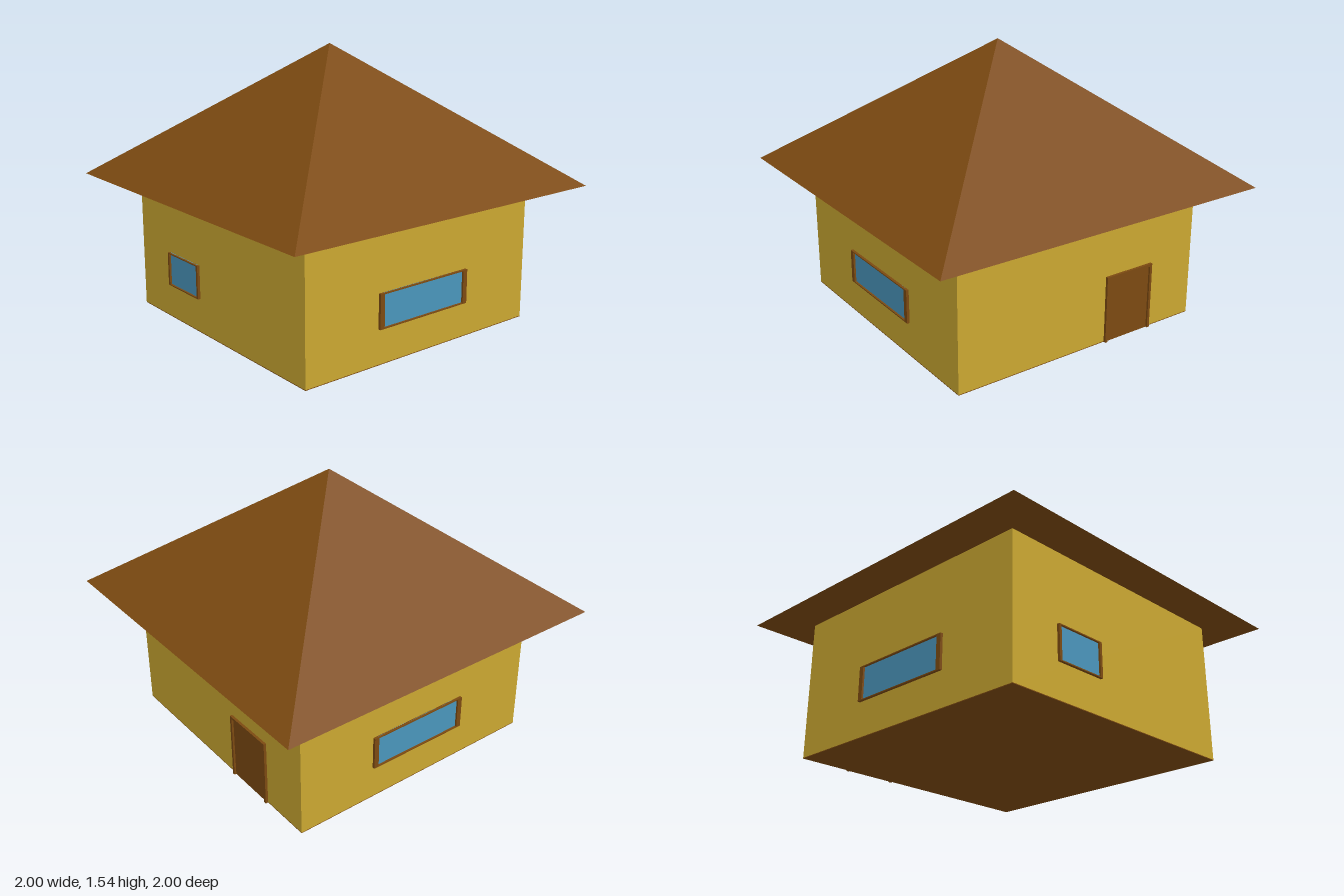
import * as THREE from 'three';

const paint = (color) => new THREE.MeshStandardMaterial({ color, flatShading: true });

export function createModel() {
  const house = new THREE.Group();
  house.name = 'house';
  const wallPaint = paint(0xcaa731);
  const wood = paint(0x7c4a11);
  const glass = paint(0x4a95bb);

  const box = (parent, name, material, w, h, d, x, y, z) => {
    const mesh = new THREE.Mesh(new THREE.BoxGeometry(w, h, d), material);
    mesh.name = name;
    mesh.position.set(x, y, z);
    parent.add(mesh);
    return mesh;
  };

  const HALF = 0.77, EAVES = 0.775, PEAK = 1.54, FLOOR = 0.004;

  // Wooden floor and square walls
  box(house, 'floor', wood, HALF * 2, FLOOR, HALF * 2, 0, FLOOR / 2, 0);
  box(house, 'walls', wallPaint, HALF * 2, EAVES - FLOOR, HALF * 2, 0, (EAVES + FLOOR) / 2, 0);

  // Overhanging pyramid roof with a closed underside
  const roofShape = new THREE.ConeGeometry(Math.SQRT2, PEAK - EAVES, 4);
  roofShape.rotateY(Math.PI / 4);
  const roof = new THREE.Mesh(roofShape, wood);
  roof.name = 'roof';
  roof.position.y = (PEAK + EAVES) / 2;
  house.add(roof);

  // A framed panel facing +z, then turned onto its wall; side and rail are bar widths
  const DEPTH = 0.015;
  const opening = (name, panelPaint, { width, bottom, top, side, rail, sill, angle, x = 0, z = 0 }) => {
    const group = new THREE.Group();
    group.name = name;
    const height = top - bottom, mid = (top + bottom) / 2;
    for (const s of [-1, 1]) {
      box(group, 'frameSide', wood, side, height, DEPTH, s * (width - side) / 2, mid, DEPTH / 2);
    }
    box(group, 'frameTop', wood, width - side * 2, rail, DEPTH, 0, top - rail / 2, DEPTH / 2);
    if (sill) box(group, 'frameSill', wood, width - side * 2, rail, DEPTH, 0, bottom + rail / 2, DEPTH / 2);
    box(group, 'panel', panelPaint, width - side * 2, height, 0.004, 0, mid, 0.002);
    group.rotation.y = angle;
    group.position.set(x, 0, z);
    house.add(group);
  };

  // Wide windows front and back, small window on the right-hand wall, door opposite
  const pane = { bottom: 0.195, top: 0.385, rail: 0.006, sill: true };
  opening('frontWindow', glass, { ...pane, width: 0.615, side: 0.028, angle: 0, z: HALF });
  opening('backWindow', glass, { ...pane, width: 0.615, side: 0.028, angle: Math.PI, z: -HALF });
  opening('sideWindow', glass, { ...pane, width: 0.31, side: 0.015, angle: -Math.PI / 2, x: -HALF, z: -0.315 });
  opening('door', wood, {
    width: 0.315, bottom: 0, top: 0.385, side: 0.015, rail: 0.015, sill: false,
    angle: Math.PI / 2, x: HALF, z: -0.315,
  });

  return house;
}
